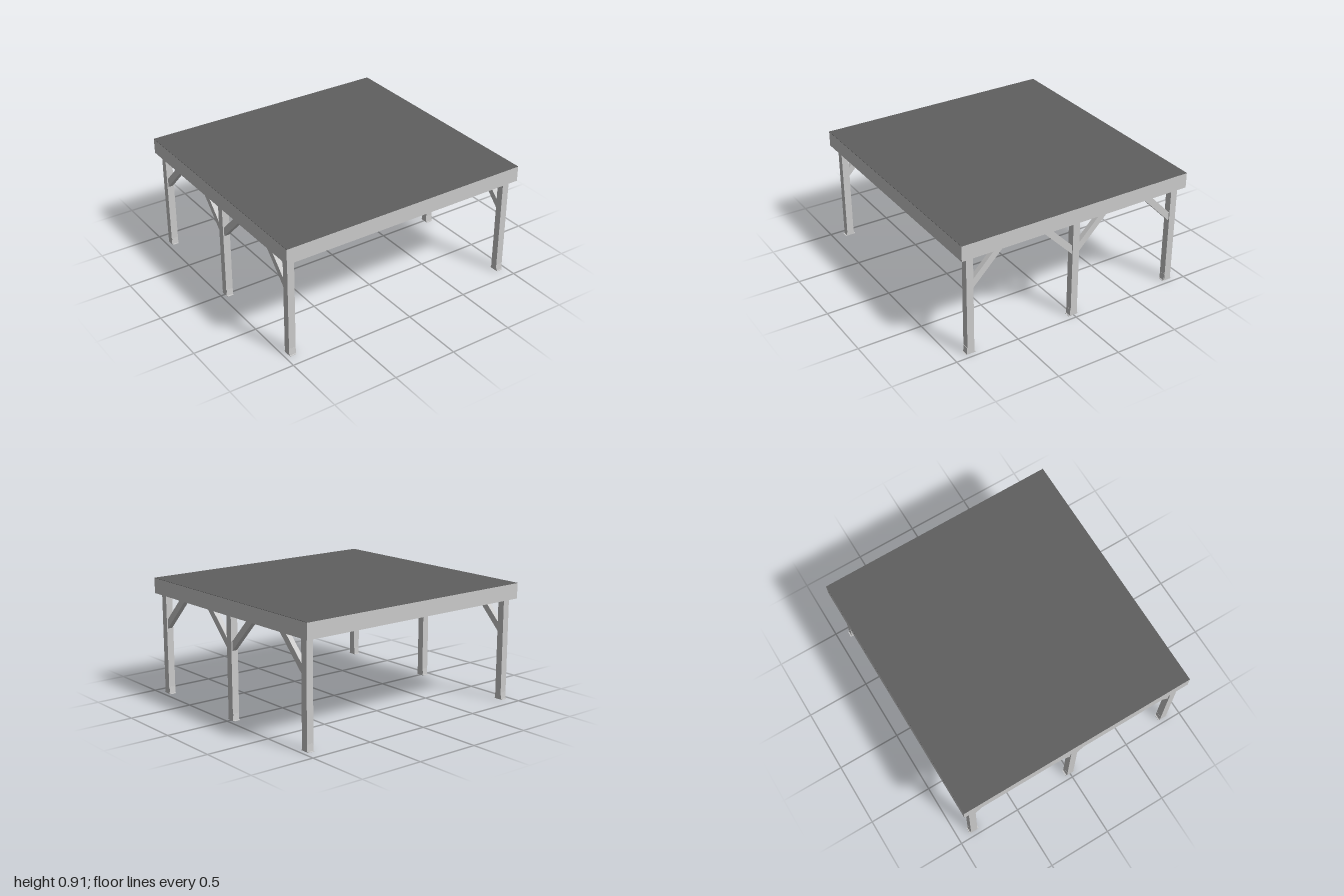
import * as THREE from 'three';

const grey = new THREE.MeshStandardMaterial({ color: 0xcccccc, flatShading: true });
const dark = new THREE.MeshStandardMaterial({ color: 0x606060, flatShading: true });

const POST = 0.055, EAVE = 0.79, TOP = 0.91, HALF_Z = 0.945;

function box(name, w, h, d, x, y, z, material = grey) {
  const mesh = new THREE.Mesh(new THREE.BoxGeometry(w, h, d), material);
  mesh.name = name;
  mesh.position.set(x, y, z);
  return mesh;
}

// Extrudes a profile given as [z, y] pairs across the x direction
function profile(name, points, width) {
  const shape = new THREE.Shape(points.map(([z, y]) => new THREE.Vector2(-z, y)));
  const geometry = new THREE.ExtrudeGeometry(shape, { depth: width, bevelEnabled: false });
  geometry.translate(0, 0, -width / 2);
  geometry.rotateY(Math.PI / 2);
  const mesh = new THREE.Mesh(geometry, grey);
  mesh.name = name;
  return mesh;
}

// Post with splayed foot bracket and 45 degree braces toward the given z directions
function createPost(braceDirections) {
  const post = new THREE.Group();
  post.name = 'post';
  const h = POST / 2;
  post.add(box('postShaft', POST, EAVE - 0.002, POST, 0, EAVE / 2 + 0.001, 0));
  post.add(profile('footBracket', [
    [-0.04, 0], [0.04, 0], [0.04, 0.003], [0.032, 0.004], [h + 0.001, 0.055],
    [-h - 0.001, 0.055], [-0.032, 0.004], [-0.04, 0.003],
  ], POST - 0.006));
  for (const s of braceDirections) {
    post.add(profile('brace', [
      [s * (h - 0.004), 0.52], [s * (h - 0.004), 0.59],
      [s * 0.22, EAVE], [s * 0.29, EAVE],
    ], 0.038));
  }
  return post;
}

export function createModel() {
  const model = new THREE.Group();
  model.name = 'pavilion';

  // Flat roof with a dark covering
  const skin = 0.002;
  model.add(box('roofFrame', 2, TOP - EAVE - skin, HALF_Z * 2, 0, (TOP + EAVE - skin) / 2, 0));
  model.add(box('roofCovering', 2, skin, HALF_Z * 2, 0, TOP - skin / 2, 0, dark));

  // Three posts along each side, end posts braced inward only
  for (const x of [-0.94, 0.94]) {
    for (const [z, directions] of [[-0.867, [1]], [0, [-1, 1]], [0.867, [-1]]]) {
      const post = createPost(directions);
      post.position.set(x, 0, z);
      model.add(post);
    }
  }
  return model;
}
